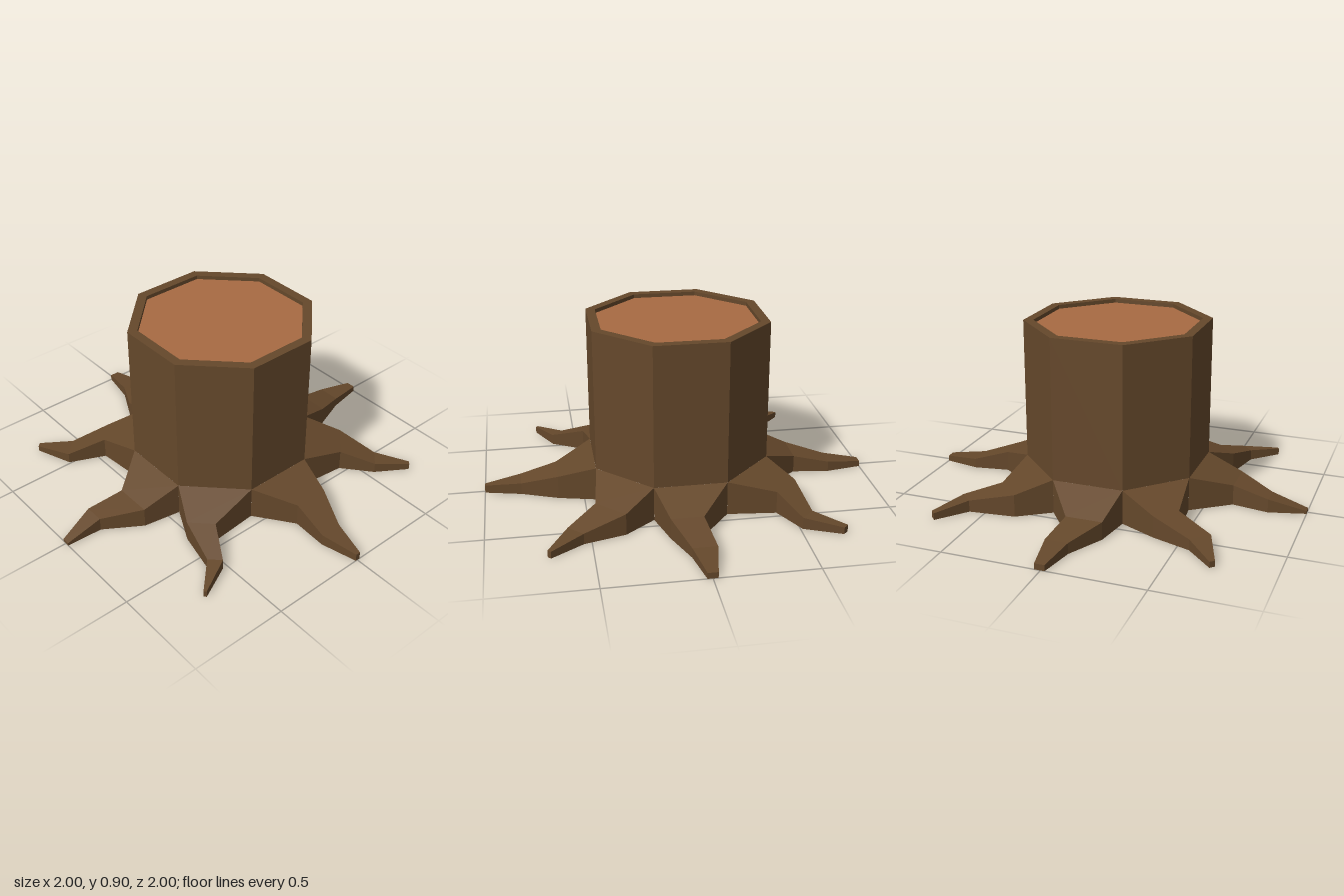
import * as THREE from 'three';

const SIDES = 8;
const CORNER = 0.475; // trunk radius at the corners
const FLARE = 0.175; // height where the roots leave the trunk

const bark = new THREE.MeshStandardMaterial({ color: 0x65482b, flatShading: true });
const wood = new THREE.MeshStandardMaterial({ color: 0xa86b43, flatShading: true });

// Distance of the root's cross-sections from the trunk axis
const REACH = [0.439, 0.63, 0.815, 1];

// Each root: [right edge, left edge, height] at the knee, the bend and the tip
const ROOTS = [
  [[-0.135, 0.045, 0.12], [-0.06, 0.055, 0.06], [-0.015, 0.01, 0.04]],
  [[-0.02, 0.12, 0.11], [-0.07, 0.005, 0.055], [-0.01, 0.005, 0.035]],
  [[-0.15, 0.04, 0.105], [-0.03, 0.07, 0.07], [-0.02, 0.02, 0.015]],
  [[-0.025, 0.113, 0.11], [-0.095, 0.02, 0.055], [-0.01, 0.018, 0.03]],
  [[-0.15, 0.035, 0.09], [-0.055, 0.06, 0.055], [-0.02, 0.03, 0.03]],
  [[-0.145, 0.028, 0.115], [0.004, 0.092, 0.06], [-0.014, 0.02, 0.035]],
  [[-0.03, 0.13, 0.105], [-0.06, 0.06, 0.05], [-0.025, 0.025, 0.03]],
  [[-0.16, 0.028, 0.11], [-0.053, 0.046, 0.055], [-0.014, 0.007, 0.035]],
];

// Four-sided root lofted along +x, closed at the tip
function rootGeometry(sections) {
  const half = CORNER * Math.sin(Math.PI / SIDES);
  const rings = [[-half, half, FLARE], ...sections].map(([lo, hi, h], i) => [
    [REACH[i], 0, lo], [REACH[i], h, lo], [REACH[i], h, hi], [REACH[i], 0, hi],
  ]);
  const positions = [];
  const quad = (a, b, c, d) => positions.push(...a, ...b, ...c, ...a, ...c, ...d);
  for (let i = 0; i < rings.length - 1; i++) {
    const p = rings[i], q = rings[i + 1];
    for (let k = 0; k < 4; k++) {
      const n = (k + 1) % 4;
      quad(p[k], p[n], q[n], q[k]);
    }
  }
  quad(...rings[rings.length - 1]);
  const geometry = new THREE.BufferGeometry();
  geometry.setAttribute('position', new THREE.Float32BufferAttribute(positions, 3));
  geometry.computeVertexNormals();
  return geometry;
}

export function createModel() {
  const stump = new THREE.Group();
  stump.name = 'treeStump';
  const add = (name, geometry, material) => {
    const mesh = new THREE.Mesh(geometry, material);
    mesh.name = name;
    stump.add(mesh);
    return mesh;
  };

  // Octagonal bark wall with a narrow rim around the recessed cut
  const profile = [[CORNER, FLARE], [CORNER, 0.9], [0.425, 0.9], [0.425, 0.88]]
    .map(([r, y]) => new THREE.Vector2(r, y));
  add('trunkBark', new THREE.LatheGeometry(profile, SIDES, Math.PI / 8), bark);

  // Sawn top
  const cut = add('cutSurface', new THREE.CircleGeometry(0.425, SIDES, Math.PI / 8), wood);
  cut.rotation.x = -Math.PI / 2;
  cut.position.y = 0.88;

  // Underside
  const base = add('base', new THREE.CircleGeometry(CORNER, SIDES, Math.PI / 8), bark);
  base.rotation.x = Math.PI / 2;

  // One root per trunk side
  ROOTS.forEach((sections, i) => {
    const root = add(`root${i + 1}`, rootGeometry(sections), bark);
    root.rotation.y = (-i * Math.PI * 2) / SIDES;
  });

  return stump;
}
